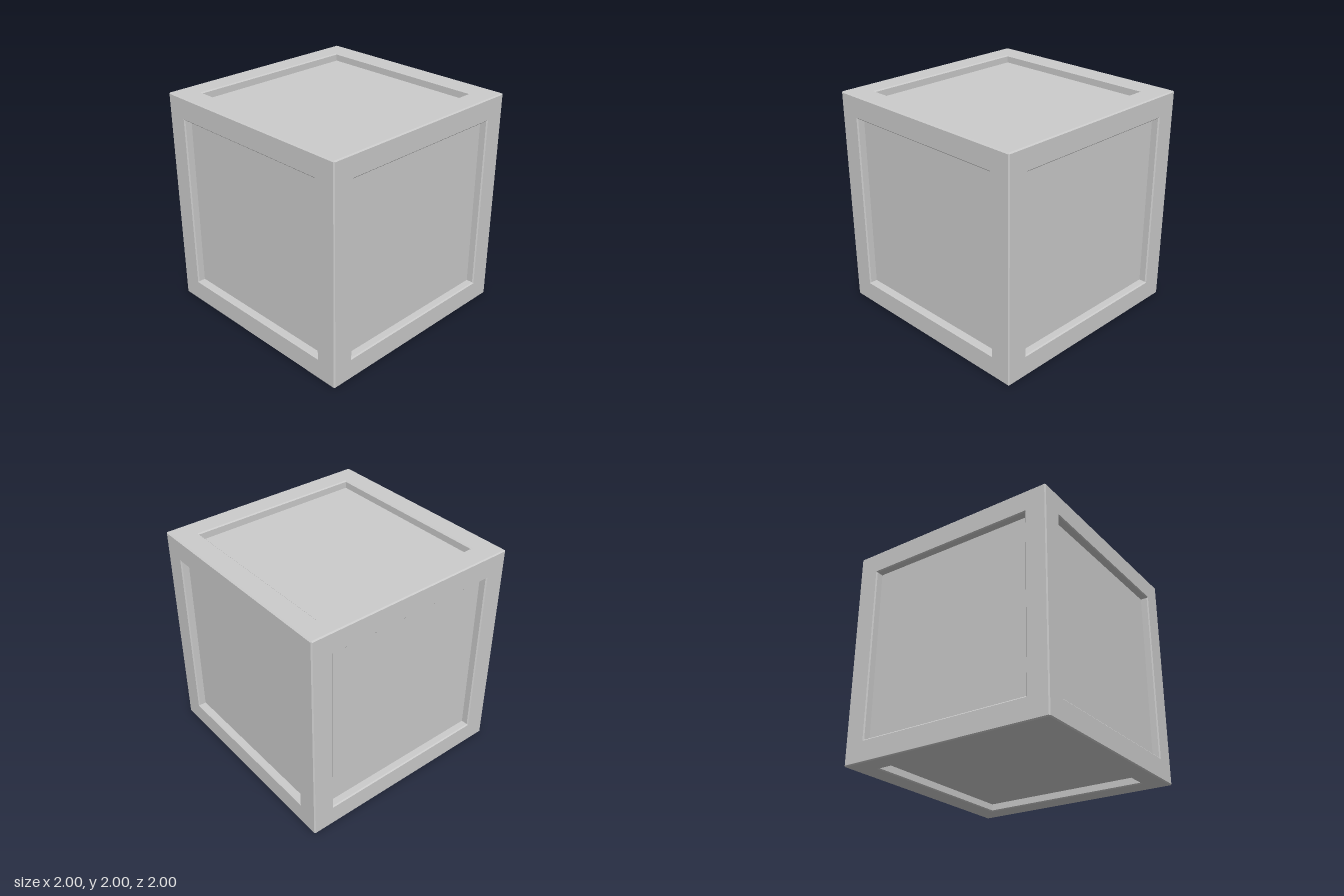
import * as THREE from 'three';

const HALF = 1, BEVEL = 0.01, INNER = 0.8, DEPTH = 0.07;

// Square, mitred frame swept from a profile of [half width, height], outer edge to recess floor
function frameGeometry() {
  const profile = [
    [HALF - BEVEL / 2, HALF - BEVEL / 2], // middle of the outer chamfer
    [HALF - BEVEL, HALF],
    [INNER + BEVEL, HALF],
    [INNER, HALF - BEVEL],
    [INNER, HALF - DEPTH],
  ].map(([w, h]) => new THREE.Vector2(w * Math.SQRT2, h));
  const geometry = new THREE.LatheGeometry(profile, 4, Math.PI / 4).toNonIndexed();
  geometry.computeVertexNormals();
  return geometry;
}

export function createModel() {
  const model = new THREE.Group();
  model.name = 'crate';
  const material = new THREE.MeshStandardMaterial({ color: 0xcccccc, flatShading: true });
  const frame = frameGeometry();
  const panel = new THREE.PlaneGeometry(2 * INNER, 2 * INNER)
    .rotateX(-Math.PI / 2)
    .translate(0, HALF - DEPTH, 0);

  // Each side is the top side turned to face its own direction
  const q = Math.PI / 2;
  const sides = {
    top: [0, 0], bottom: [2 * q, 0],
    front: [q, 0], back: [-q, 0],
    left: [0, -q], right: [0, q],
  };
  for (const [name, [rx, rz]] of Object.entries(sides)) {
    const side = new THREE.Group();
    side.name = name + 'Side';
    const frameMesh = new THREE.Mesh(frame, material);
    frameMesh.name = name + 'Frame';
    const panelMesh = new THREE.Mesh(panel, material);
    panelMesh.name = name + 'Panel';
    side.add(frameMesh, panelMesh);
    side.rotation.set(rx, 0, rz);
    side.position.y = HALF;
    model.add(side);
  }
  return model;
}
